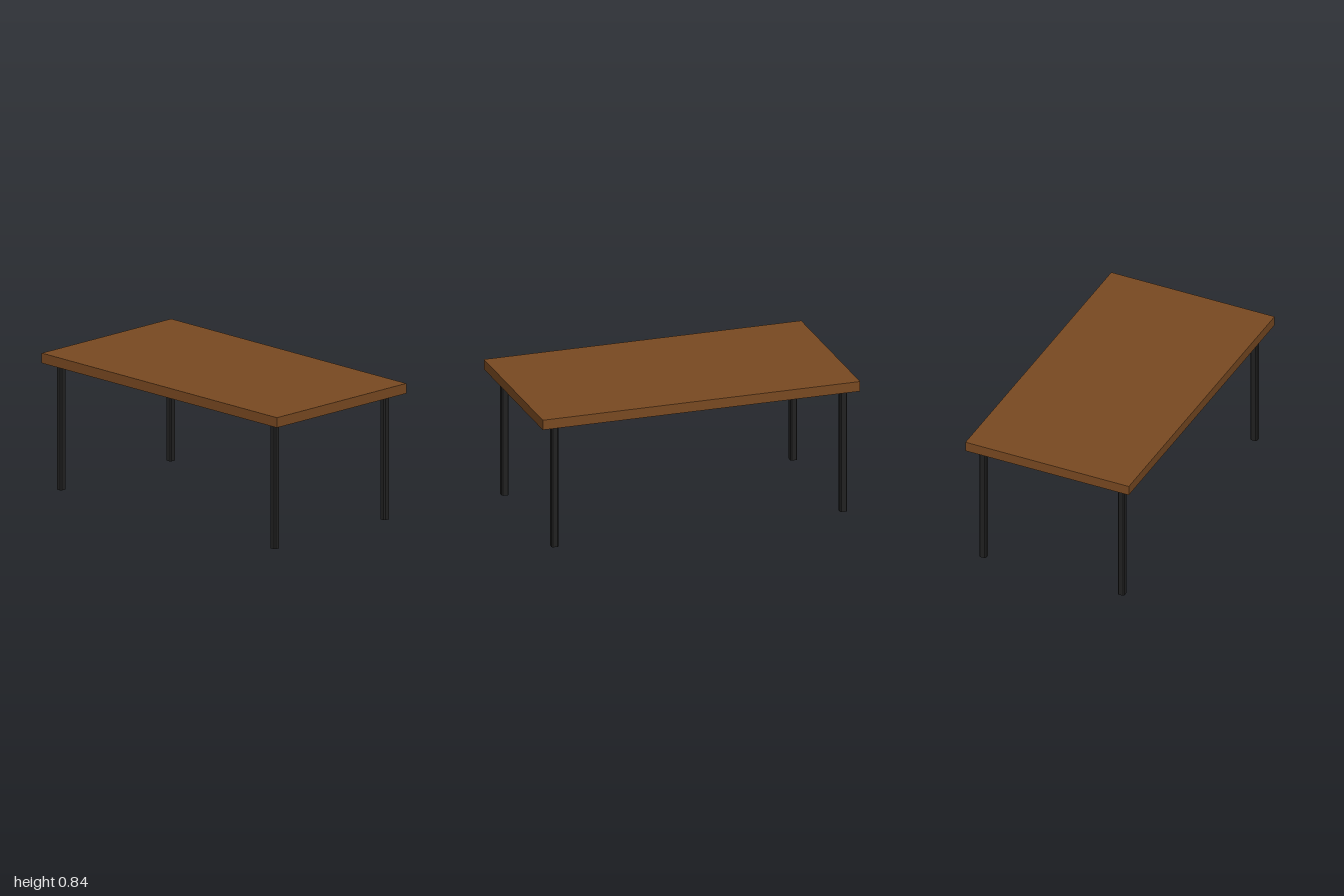
import * as THREE from 'three';

export function createModel() {
  const table = new THREE.Group();
  table.name = 'table';
  table.rotation.y = 0.003; // stands very slightly askew

  const wood = new THREE.MeshStandardMaterial({ color: 0x7a4a22 });
  wood.name = 'brown wood';
  const metal = new THREE.MeshStandardMaterial({ color: 0x222222 });
  metal.name = 'black metal';

  const legHeight = 0.78;

  // Flat rectangular slab
  const top = new THREE.Mesh(new THREE.BoxGeometry(1.997, 0.062, 1.079), wood);
  top.name = 'tableTop';
  top.position.y = legHeight + 0.031;
  table.add(top);

  // Square leg section with small chamfered corners
  const h = 0.0215, c = 0.007;
  const section = new THREE.Shape([
    [h, c - h], [h, h - c], [h - c, h], [c - h, h],
    [-h, h - c], [-h, c - h], [c - h, -h], [h - c, -h],
  ].map(([x, y]) => new THREE.Vector2(x, y)));
  const legGeometry = new THREE.ExtrudeGeometry(section, { depth: legHeight, bevelEnabled: false });
  legGeometry.rotateX(-Math.PI / 2);

  // Four legs, one near each corner
  for (const [side, x] of [['Right', -0.918], ['Left', 0.898]]) {
    for (const [end, z] of [['front', 0.457], ['back', -0.457]]) {
      const leg = new THREE.Mesh(legGeometry, metal);
      leg.name = `${end}${side}Leg`;
      leg.position.set(x, 0, z);
      table.add(leg);
    }
  }

  const model = new THREE.Group();
  model.name = 'model';
  model.add(table);
  return model;
}
